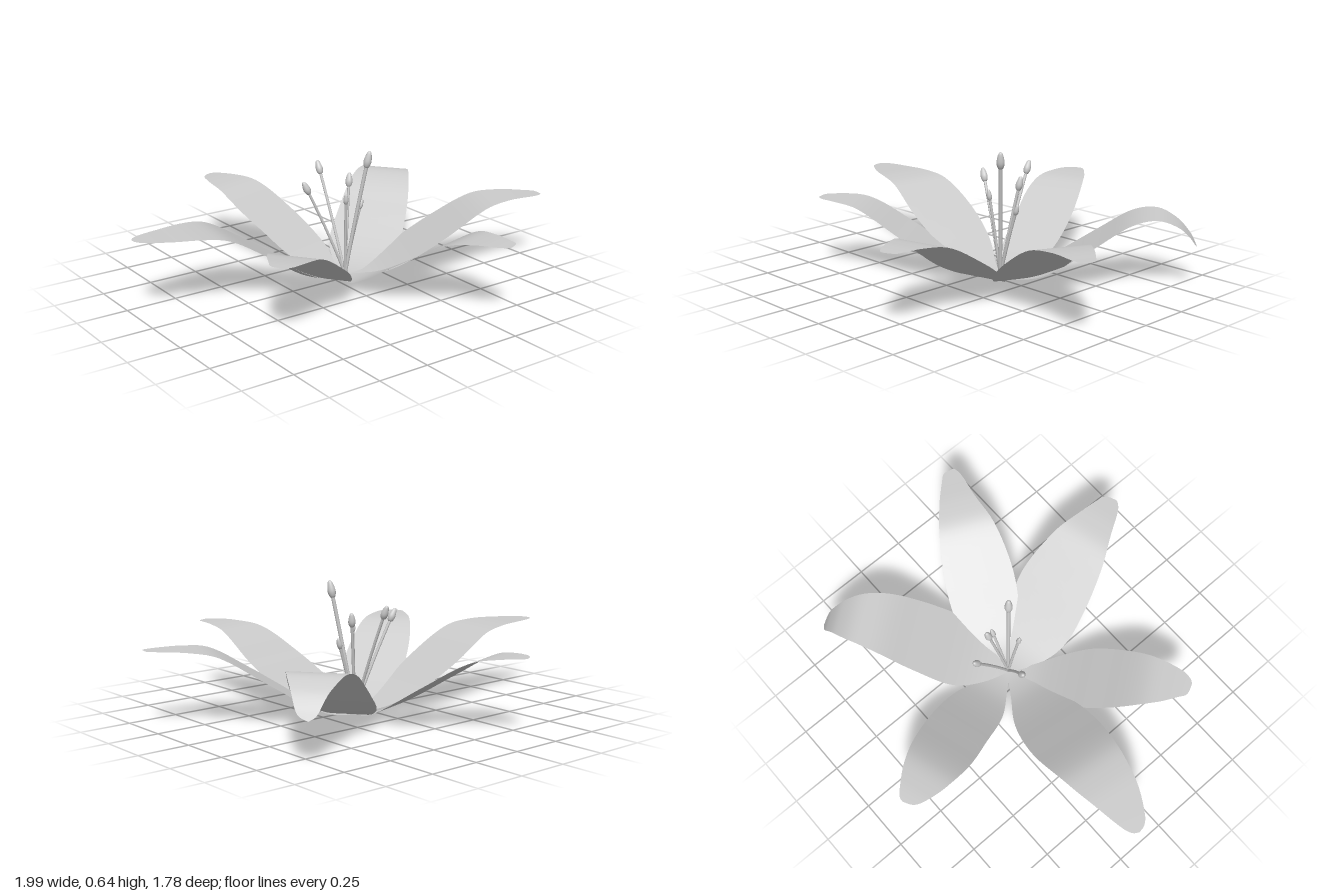
import * as THREE from 'three';

const CENTER = new THREE.Vector3(0.08, 0, -0.03);
const material = new THREE.MeshStandardMaterial({ color: 0xcccccc, side: THREE.DoubleSide });

const spline2 = (pairs) => new THREE.SplineCurve(pairs.map(([a, b]) => new THREE.Vector2(a, b)));

// Stations along a petal, as fractions of its length
const STATIONS = [0, 0.12, 0.27, 0.45, 0.65, 0.82, 0.94, 0.985, 1];

// Rise of a petal over its reach: shallow bowl, straight slope, level end
const RISE = [[0, 0], [0.13, 0.022], [0.26, 0.085], [0.47, 0.215], [0.67, 0.333], [0.8, 0.358], [0.95, 0.361], [1.1, 0.36]];
const DROOP = [[0, 0], [0.13, 0.022], [0.26, 0.085], [0.47, 0.22], [0.62, 0.315], [0.74, 0.34], [0.84, 0.3], [0.9, 0.24], [0.935, 0.18]];

// Each petal: tip in plan, and half widths on its two sides at the stations
const PETALS = [
  { name: 'outerPetalBack', tip: [-0.18, -0.89],
    a: [0.06, 0.12, 0.14, 0.155, 0.13, 0.085, 0.05], b: [0.07, 0.14, 0.158, 0.14, 0.1, 0.05, 0.025] },
  { name: 'outerPetalLeft', tip: [0.985, 0.39],
    a: [0.09, 0.18, 0.195, 0.165, 0.12, 0.075, 0.052], b: [0.07, 0.135, 0.155, 0.125, 0.066, 0.035, 0.015] },
  { name: 'outerPetalRight', tip: [-0.64, 0.505],
    a: [0.05, 0.108, 0.145, 0.128, 0.093, 0.055, 0.025], b: [0.07, 0.14, 0.168, 0.162, 0.128, 0.08, 0.055] },
  { name: 'innerPetalBackLeft', tip: [0.815, -0.603], inner: true, rise: DROOP,
    a: [0.09, 0.155, 0.157, 0.14, 0.108, 0.06, 0.035], b: [0.1, 0.2, 0.206, 0.177, 0.132, 0.08, 0.05] },
  { name: 'innerPetalFront', tip: [0.31, 0.89], inner: true,
    a: [0.09, 0.175, 0.21, 0.175, 0.118, 0.078, 0.058], b: [0.11, 0.172, 0.17, 0.137, 0.082, 0.045, 0.02] },
  { name: 'innerPetalRight', tip: [-0.998, -0.17], inner: true,
    a: [0.07, 0.14, 0.172, 0.157, 0.126, 0.075, 0.04], b: [0.07, 0.15, 0.177, 0.145, 0.095, 0.056, 0.03] },
];

// Height at a given reach, smoothly eased through the rise points
function heightAt(points, s) {
  let i = 0;
  while (i < points.length - 2 && s > points[i + 1][0]) i++;
  const slope = (k) => {
    const p = points[Math.max(k - 1, 0)], q = points[Math.min(k + 1, points.length - 1)];
    return k === 0 ? 0 : (q[1] - p[1]) / (q[0] - p[0]);
  };
  const [x0, y0] = points[i], [x1, y1] = points[i + 1];
  const h = x1 - x0, t = (s - x0) / h, t2 = t * t, t3 = t2 * t;
  return (2 * t3 - 3 * t2 + 1) * y0 + (t3 - 2 * t2 + t) * h * slope(i)
    + (3 * t2 - 2 * t3) * y1 + (t3 - t2) * h * slope(i + 1);
}

// Petal blade: rows from base to tip, each spanning edge to edge
function makePetal({ name, tip, a, b, inner, rise = RISE }) {
  const ROWS = 56, COLS = 8;
  const dx = tip[0] - CENTER.x, dz = tip[1] - CENTER.z;
  const length = Math.hypot(dx, dz), ux = dx / length, uz = dz / length;
  const edge = (w, sign) => spline2([0.008, ...w, 0].map((o, i) => [STATIONS[i] * length, o * sign]));
  const edgeA = edge(a, -1), edgeB = edge(b, 1);
  const positions = [], indices = [];
  for (let r = 0; r <= ROWS; r++) {
    const pa = edgeA.getPoint(r / ROWS), pb = edgeB.getPoint(r / ROWS);
    const s = pa.x, y = heightAt(rise, s) + (inner ? 0.005 : 0);
    for (let c = 0; c <= COLS; c++) {
      const o = THREE.MathUtils.lerp(pa.y, pb.y, c / COLS);
      positions.push(CENTER.x + ux * s - uz * o, y, CENTER.z + uz * s + ux * o);
      if (r < ROWS && c < COLS) {
        const i = r * (COLS + 1) + c, j = i + COLS + 1;
        indices.push(i, i + 1, j, i + 1, j + 1, j);
      }
    }
  }
  const geometry = new THREE.BufferGeometry();
  geometry.setAttribute('position', new THREE.Float32BufferAttribute(positions, 3));
  // Wind the faces so their fronts look up
  for (let k = 0; k < indices.length; k += 3) [indices[k + 1], indices[k + 2]] = [indices[k + 2], indices[k + 1]];
  geometry.setIndex(indices);
  geometry.computeVertexNormals();
  const mesh = new THREE.Mesh(geometry, material);
  mesh.name = name;
  return mesh;
}

// Thin curved stalk carrying a bud-shaped head
function makeStalk(name, headName, end, radius, headLength, headRadius) {
  const group = new THREE.Group();
  group.name = name;
  const top = new THREE.Vector3(...end);
  const start = CENTER.clone().setY(0.005);
  const middle = start.clone().lerp(top, 0.4);
  middle.y += 0.03;
  const curve = new THREE.QuadraticBezierCurve3(start, middle, top);
  const filament = new THREE.Mesh(new THREE.TubeGeometry(curve, 16, radius, 8), material);
  filament.name = 'filament';

  const profile = spline2([[0, -0.5], [0.6, -0.45], [0.95, -0.2], [0.9, 0.05], [0.6, 0.35], [0.3, 0.48], [0, 0.5]]
    .map(([r, y]) => [r * headRadius, y * headLength])).getPoints(18);
  profile.forEach((p) => { p.x = Math.max(p.x, 0); });
  const head = new THREE.Mesh(new THREE.LatheGeometry(profile, 12), material);
  head.name = headName;
  head.position.copy(top);
  head.quaternion.setFromUnitVectors(new THREE.Vector3(0, 1, 0), curve.getTangent(1));
  group.add(filament, head);
  return group;
}

export function createModel() {
  const flower = new THREE.Group();
  flower.name = 'flower';

  const petals = new THREE.Group();
  petals.name = 'petals';
  PETALS.forEach((p) => petals.add(makePetal(p)));

  // Five stamens around one taller pistil
  const stalks = new THREE.Group();
  stalks.name = 'stamensAndPistil';
  const anthers = [[-0.103, 0.465, -0.096], [0.065, 0.51, -0.23], [0.147, 0.465, -0.09], [0.18, 0.35, -0.037], [0.05, 0.41, 0.017]];
  anthers.forEach((end, i) => {
    const large = i < 3;
    stalks.add(makeStalk(`stamen${i + 1}`, 'anther', end, 0.007, large ? 0.07 : 0.055, large ? 0.018 : 0.013));
  });
  stalks.add(makeStalk('pistil', 'stigma', [0.157, 0.598, 0.048], 0.009, 0.085, 0.02));

  flower.add(petals, stalks);
  return flower;
}
